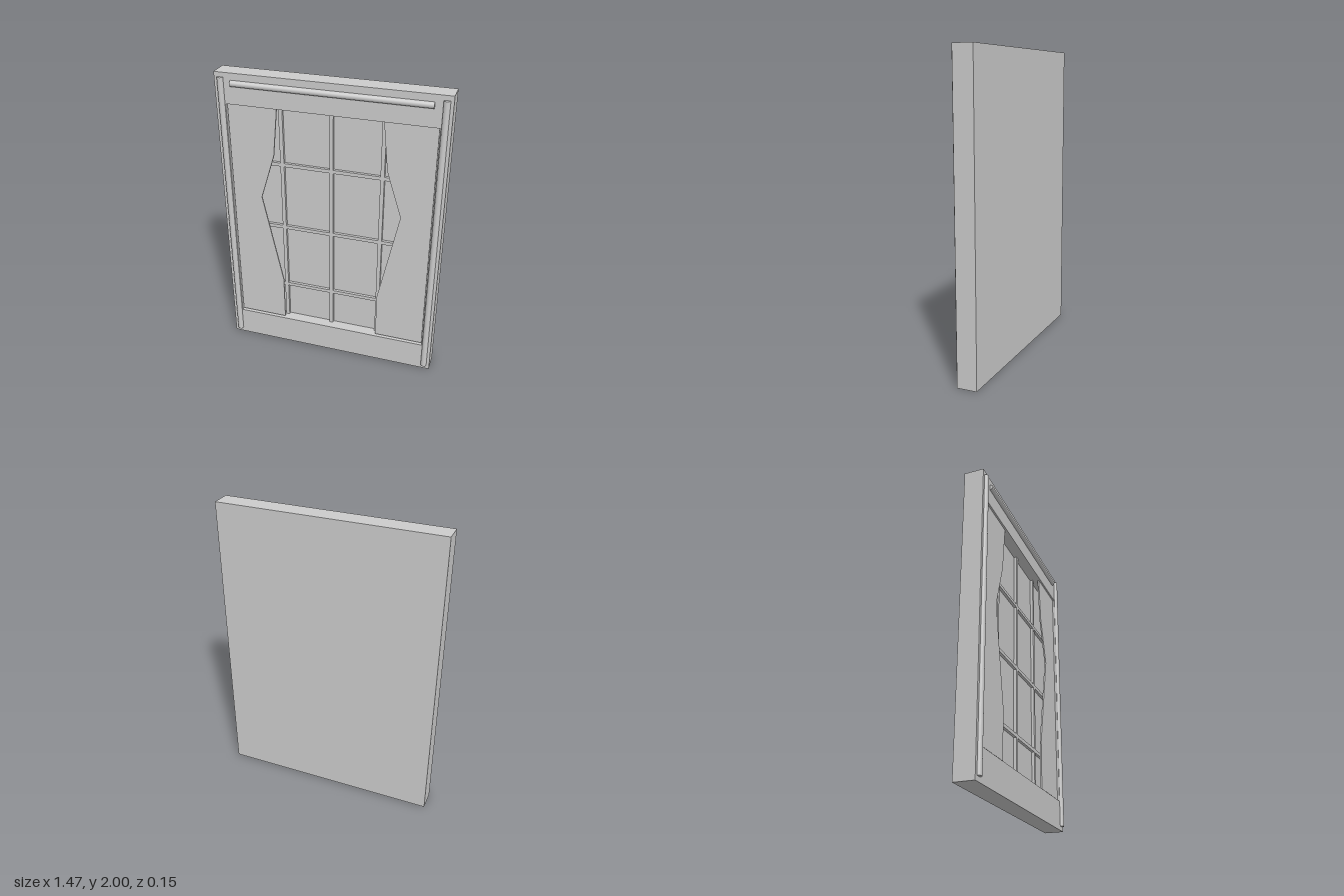
import * as THREE from 'three';

const material = new THREE.MeshStandardMaterial({ color: 0xcccccc, side: THREE.DoubleSide });

const BACK = -0.075, FACE = 0.055, GLASS = -0.02;
const OPEN = { x: 0.67, y0: 0.2, y1: 1.8 };

function add(parent, name, geometry, x = 0, y = 0, z = 0) {
  const mesh = new THREE.Mesh(geometry, material);
  mesh.name = name;
  mesh.position.set(x, y, z);
  parent.add(mesh);
  return mesh;
}

function outline(points) {
  return points.map(([x, y]) => new THREE.Vector2(x, y));
}

function rect(x, y0, y1) {
  return outline([[-x, y0], [x, y0], [x, y1], [-x, y1]]);
}

function extrude(shape, depth) {
  return new THREE.ExtrudeGeometry(shape, { depth, bevelEnabled: false });
}

export function createModel() {
  const model = new THREE.Group();
  model.name = 'curtainedWindow';

  // Wall slab with the window opening, closed at the back by the pane
  const wall = new THREE.Shape(rect(0.735, 0, 2));
  wall.holes.push(new THREE.Path(rect(OPEN.x, OPEN.y0, OPEN.y1)));
  add(model, 'wallFrame', extrude(wall, FACE - BACK), 0, 0, BACK);
  add(model, 'windowPane',
    new THREE.BoxGeometry(2 * OPEN.x, OPEN.y1 - OPEN.y0, GLASS - BACK),
    0, (OPEN.y0 + OPEN.y1) / 2, (GLASS + BACK) / 2);

  // Glazing bars
  const bars = new THREE.Group();
  bars.name = 'glazingBars';
  model.add(bars);
  const barZ = GLASS + 0.01;
  for (const x of [-0.332, 0, 0.332]) {
    add(bars, 'verticalBar', new THREE.BoxGeometry(0.025, OPEN.y1 - OPEN.y0, 0.02),
      x, (OPEN.y0 + OPEN.y1) / 2, barZ);
  }
  for (const y of [0.47, 0.938, 1.403]) {
    add(bars, 'horizontalBar', new THREE.BoxGeometry(2 * OPEN.x, 0.024, 0.019), 0, y, barZ);
  }

  // Pair of thin drawn curtains, just inside the opening
  for (const side of [-1, 1]) {
    const shape = new THREE.Shape(outline([
      [0.665, 1.8], [0.338, 1.8], [0.37, 1.48], [0.468, 1.17],
      [0.337, 0.53], [0.337, 0.21], [0.665, 0.21],
    ].map(([x, y]) => [side * x, y])));
    add(model, side < 0 ? 'rightCurtain' : 'leftCurtain', extrude(shape, 0.01), 0, 0, 0.033);
  }

  // Half-round rods on the wall face
  const rod = (name, length, x, y) =>
    add(model, name, new THREE.CylinderGeometry(0.02, 0.02, length, 24), x, y, FACE);
  rod('rightTrimRod', 1.94, -0.695, 1);
  rod('leftTrimRod', 1.94, 0.695, 1);
  rod('curtainRod', 1.255, 0, 1.935).rotation.z = Math.PI / 2;

  return model;
}
